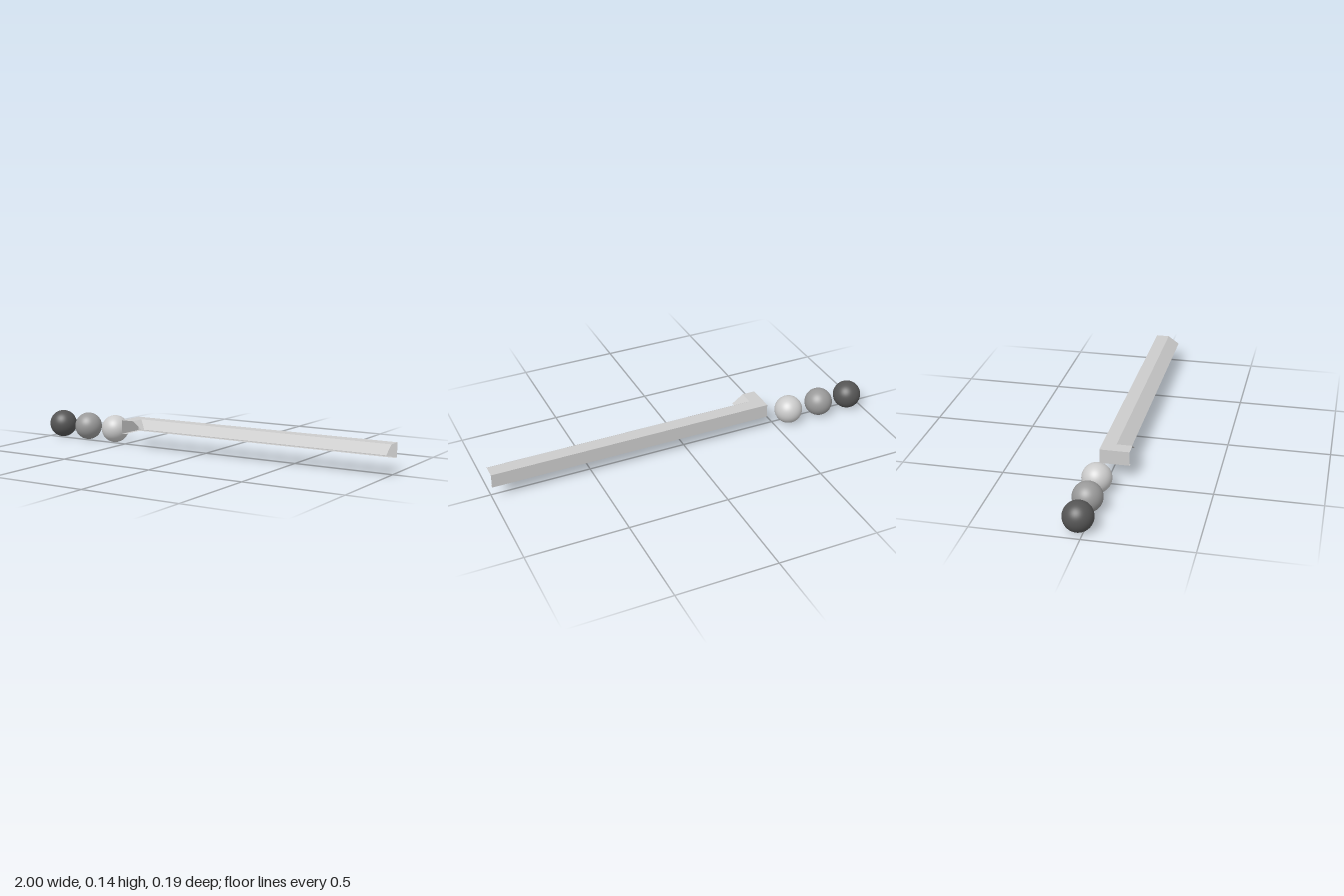
import * as THREE from 'three';

// Sheet swept along an L-shaped path, mitred at the corner
function moulding() {
  // [distance from the outer wall, height]: lip, wall, flat top, sloped front
  const profile = [[0.02, 0.073], [0, 0.073], [0, 0.143], [0.067, 0.143], [0.125, 0.102]];
  const rows = profile.map(([d, y]) => [
    [1, y, -0.045 + d],
    [-0.445 + d, y, -0.045 + d],
    [-0.445 + d, y, 0.098],
  ]);
  const positions = [];
  for (let i = 0; i < rows.length - 1; i++) {
    for (let j = 0; j < 2; j++) {
      const a = rows[i][j], b = rows[i + 1][j], c = rows[i + 1][j + 1], d = rows[i][j + 1];
      positions.push(...a, ...d, ...c, ...a, ...c, ...b);
    }
  }
  const geometry = new THREE.BufferGeometry();
  geometry.setAttribute('position', new THREE.Float32BufferAttribute(positions, 3));
  geometry.computeVertexNormals();
  return geometry;
}

export function createModel() {
  const group = new THREE.Group();

  // Long folded strip with a short return at its right end
  const strip = new THREE.Mesh(
    moulding(),
    new THREE.MeshStandardMaterial({ color: 0xcccccc, side: THREE.DoubleSide })
  );
  strip.name = 'cornerStrip';
  group.add(strip);

  // Row of three balls, dark to light
  const balls = [['darkBall', -0.929, 0x555555], ['middleBall', -0.758, 0x999999], ['lightBall', -0.581, 0xcccccc]];
  const sphere = new THREE.SphereGeometry(0.071, 48, 32);
  for (const [name, x, color] of balls) {
    const ball = new THREE.Mesh(sphere, new THREE.MeshStandardMaterial({ color }));
    ball.name = name;
    ball.position.set(x, 0.071, -0.025);
    group.add(ball);
  }
  return group;
}
